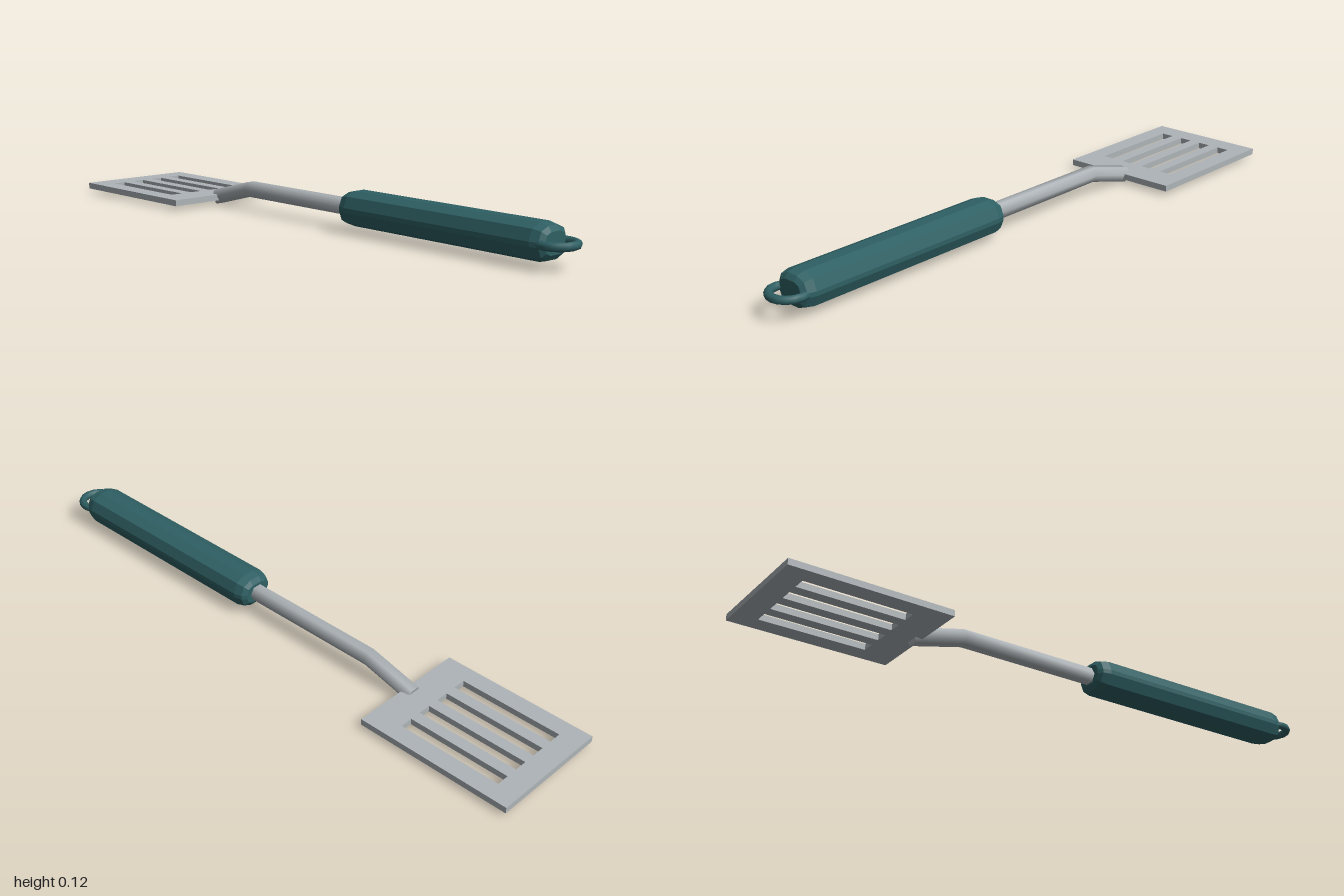
import * as THREE from 'three';

const metal = new THREE.MeshStandardMaterial({ name: 'brushed steel', color: 0xaeb4b8 });
const grip = new THREE.MeshStandardMaterial({ name: 'teal grip', color: 0x2f6064 });

// Skin through rings of equal point count (counter-clockwise seen from +z, running +z to -z), with end caps
function loft(rings, flat) {
  const n = rings[0].length, pos = [], idx = [];
  const put = p => pos.push(p.x, p.y, p.z) / 3 - 1;
  rings.forEach(r => r.forEach(put));
  for (let i = 0; i < rings.length - 1; i++) {
    for (let k = 0; k < n; k++) {
      const a = i * n + k, b = i * n + (k + 1) % n;
      idx.push(a, a + n, b, b, a + n, b + n);
    }
  }
  [rings[0], rings[rings.length - 1]].forEach((ring, end) => {
    const s = pos.length / 3;
    ring.forEach(put);
    for (let k = 1; k < n - 1; k++) {
      if (end) idx.push(s, s + k + 1, s + k);
      else idx.push(s, s + k, s + k + 1);
    }
  });
  let g = new THREE.BufferGeometry();
  g.setAttribute('position', new THREE.Float32BufferAttribute(pos, 3));
  g.setIndex(idx);
  if (flat) g = g.toNonIndexed();
  g.computeVertexNormals();
  return g;
}

function rectangle(PathType, x0, x1, y0, y1) {
  return new PathType([[x0, y0], [x1, y0], [x1, y1], [x0, y1]].map(p => new THREE.Vector2(...p)));
}

export function createModel() {
  const model = new THREE.Group();
  const add = (name, geometry, material) => {
    const mesh = new THREE.Mesh(geometry, material);
    mesh.name = name;
    model.add(mesh);
  };

  // Flat blade with four slots
  const shape = rectangle(THREE.Shape, -0.2, 0.2, 0.483, 1);
  for (const x of [-0.12, -0.04, 0.04, 0.12]) {
    shape.holes.push(rectangle(THREE.Path, x - 0.021, x + 0.021, 0.585, 0.928));
  }
  const blade = new THREE.ExtrudeGeometry(shape, { depth: 0.02, bevelEnabled: false });
  blade.rotateX(-Math.PI / 2).translate(0, 0.016, 0);
  add('blade', blade, metal);

  // Six-sided shaft, bent down to the blade: [y, z, tilt of the section]
  const shaft = [[0.07, 0.2, 0], [0.07, -0.335, 0.13], [0.025, -0.51, 0.25]].map(([y, z, tilt]) =>
    Array.from({ length: 6 }, (_, k) => {
      const a = k * Math.PI / 3, h = 0.028 * Math.sin(a);
      return new THREE.Vector3(0.028 * Math.cos(a), y + h * Math.cos(tilt), z - h * Math.sin(tilt));
    }));
  add('shaft', loft(shaft, false), metal);

  // Faceted handle with bevelled ends: [z, inset]
  const sections = [[0.928, 0.022], [0.917, 0.007], [0.89, 0], [0.18, 0], [0.153, 0.007], [0.142, 0.022]];
  const handle = sections.map(([z, inset]) => {
    const ring = [], r = 0.047 - inset;
    for (let q = 0; q < 4; q++) {
      const sx = q === 0 || q === 3 ? 1 : -1, sy = q < 2 ? 1 : -1;
      for (let j = 0; j < 3; j++) {
        const a = (q * 2 + j) * Math.PI / 4;
        ring.push(new THREE.Vector3(sx * 0.019 + r * Math.cos(a), 0.072 + sy * 0.007 + r * Math.sin(a), z));
      }
    }
    return ring;
  });
  add('handle', loft(handle, true), grip);

  // Hanging loop at the end of the handle
  const loop = new THREE.TorusGeometry(0.054, 0.013, 8, 16);
  loop.rotateX(Math.PI / 2).translate(0, 0.072, 0.933);
  add('hangingLoop', loop, grip);

  return model;
}
